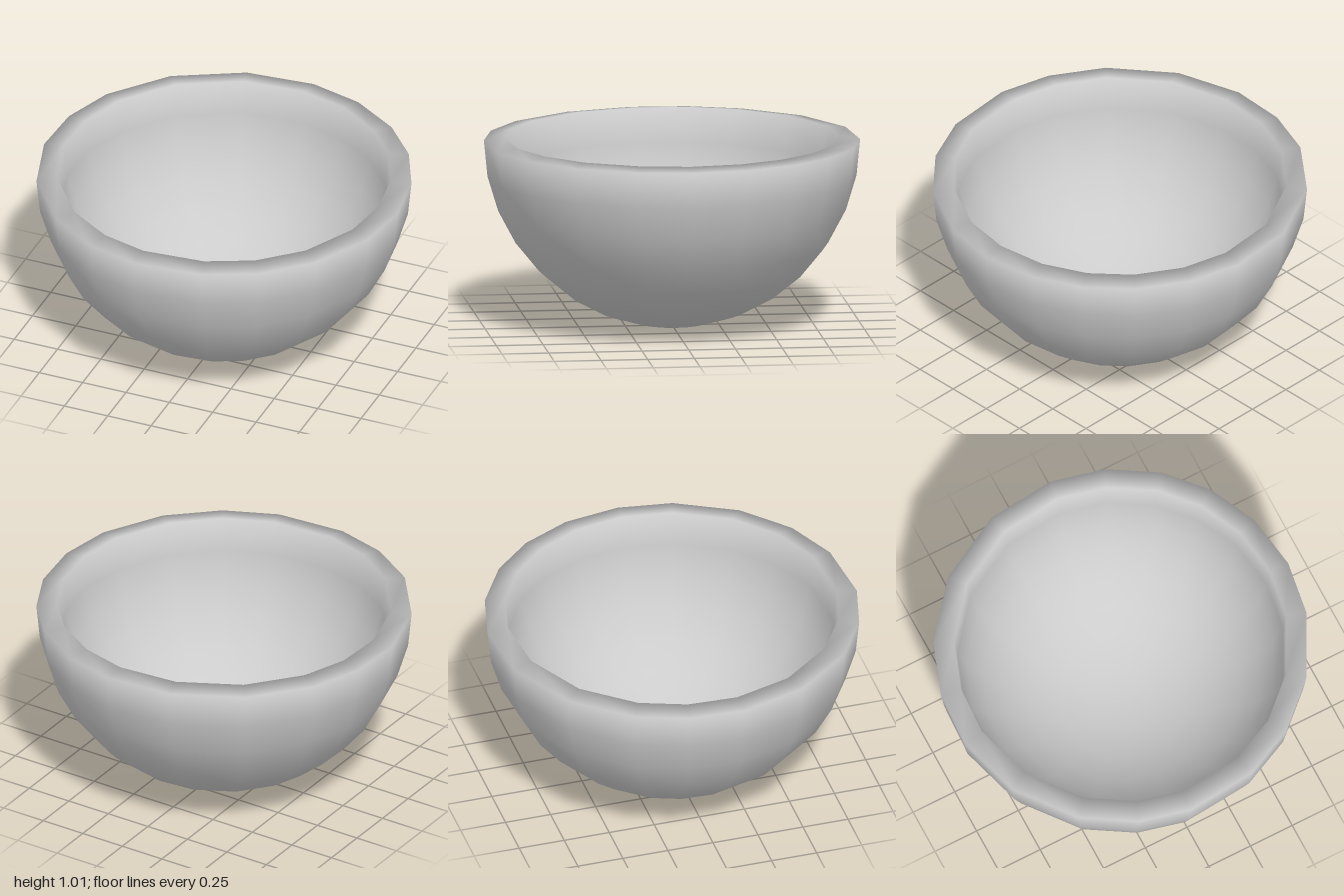
import * as THREE from 'three';

// Directions of the slightly uneven sides, in degrees around the bowl
const SIDES = [360, 342.5, 326, 310, 292.5, 275.5, 254, 230.5, 208.5, 191.5,
  174, 153, 130.5, 112.5, 96, 74, 56.5, 38, 17, 0];

// Quarter circle from the pole (bottom) up towards the rim
function quarterArc(radius, centreY, steps, endY) {
  const points = [];
  for (let i = 0; i <= steps; i++) {
    const t = (i / steps) * Math.PI / 2;
    const y = i === steps ? endY : centreY - radius * Math.cos(t);
    points.push(new THREE.Vector2(i === 0 ? 0 : radius * Math.sin(t), y));
  }
  return points;
}

// Turn the columns of a lathe onto the uneven side directions
function unevenSides(geometry, rows) {
  const pos = geometry.attributes.position;
  const nor = geometry.attributes.normal;
  for (let i = 0; i < pos.count; i++) {
    const column = Math.floor(i / rows);
    const phi = (column / (SIDES.length - 1)) * Math.PI * 2;
    const a = THREE.MathUtils.degToRad(SIDES[column]);
    const r = pos.getX(i) * Math.sin(phi) + pos.getZ(i) * Math.cos(phi);
    const n = nor.getX(i) * Math.sin(phi) + nor.getZ(i) * Math.cos(phi);
    pos.setXYZ(i, r * Math.cos(a), pos.getY(i), r * Math.sin(a));
    if (r < 1e-4) nor.setXYZ(i, 0, i % rows === 0 ? -1 : 1, 0); // poles
    else nor.setXYZ(i, n * Math.cos(a), nor.getY(i), n * Math.sin(a));
  }
  return geometry;
}

export function createModel() {
  const group = new THREE.Group();
  group.name = 'bowl';

  // Outer wall, rim sloping up to the inner edge, then down the inner wall
  const profile = [
    ...quarterArc(1, 1, 8, 1),
    ...quarterArc(0.89, 1, 8, 1.015).reverse(),
  ];
  const lathe = new THREE.LatheGeometry(profile, SIDES.length - 1);
  const shell = new THREE.Mesh(
    unevenSides(lathe, profile.length),
    new THREE.MeshStandardMaterial({ color: 0xcccccc }),
  );
  shell.name = 'bowlShell';
  group.add(shell);
  return group;
}
